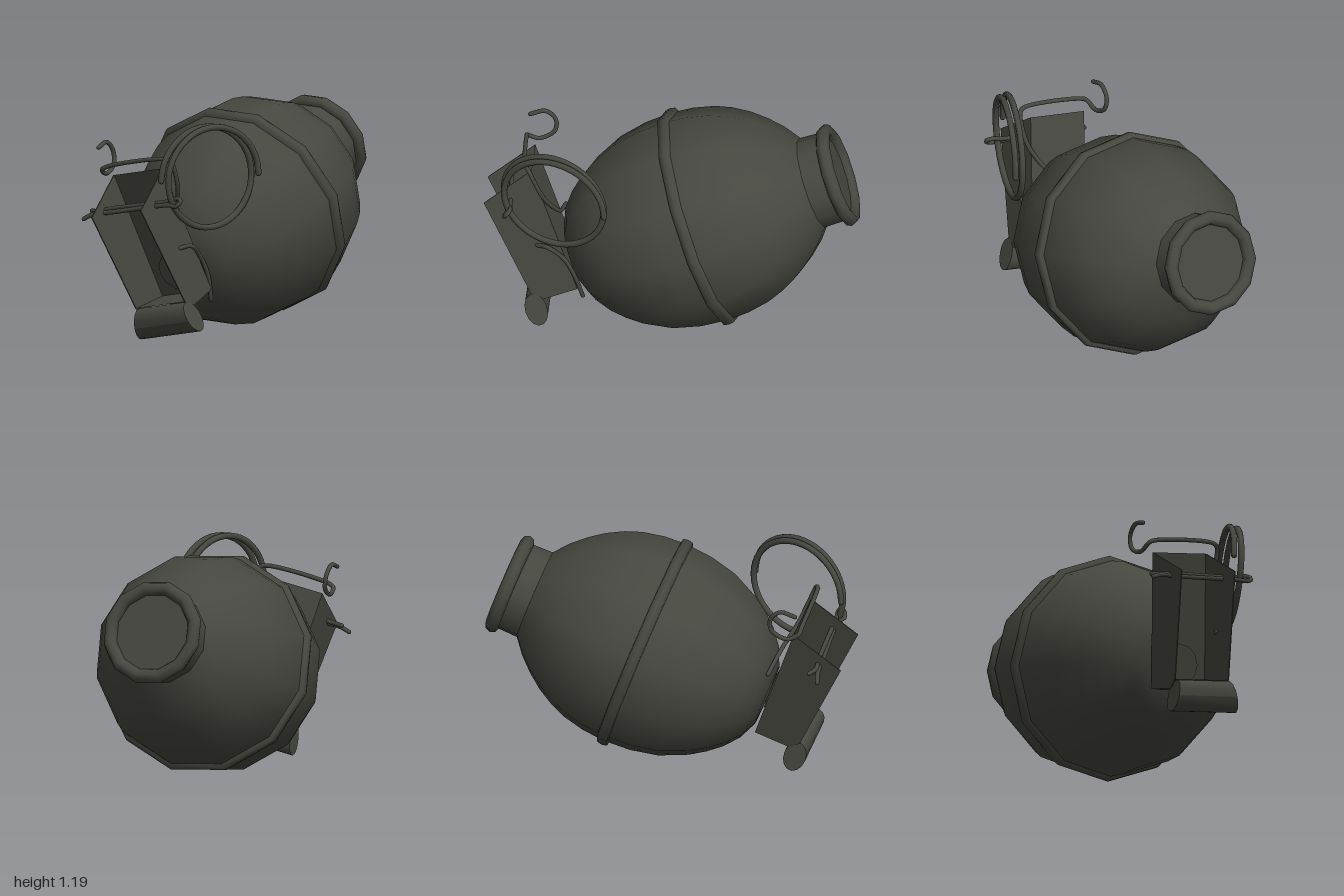
import * as THREE from 'three';

export function createModel() {
  const model = new THREE.Group();
  const darkOlive = new THREE.MeshStandardMaterial({ color: 0x46473f });
  darkOlive.name = 'darkOlive';
  darkOlive.side = THREE.DoubleSide;

  function add(parent, name, geometry) {
    const mesh = new THREE.Mesh(geometry, darkOlive);
    mesh.name = name;
    parent.add(mesh);
    return mesh;
  }
  const V = (p) => new THREE.Vector3(...p);

  // Twelve-sided turned part along z, from [radius, z] pairs
  function turned(points) {
    const g = new THREE.LatheGeometry(points.map(([r, w]) => new THREE.Vector2(r, w)), 12);
    return g.rotateX(Math.PI / 2);
  }

  // Bent wire with closed ends
  function wire(name, points, radius = 0.012, segments = points.length * 6) {
    const g = new THREE.Group();
    g.name = name;
    const curve = new THREE.CatmullRomCurve3(points.map(V), false, 'centripetal');
    add(g, name + 'Rod', new THREE.TubeGeometry(curve, segments, radius, 8));
    for (const p of [points[0], points[points.length - 1]]) {
      add(g, name + 'End', new THREE.SphereGeometry(radius, 8, 6)).position.set(...p);
    }
    model.add(g);
  }

  // Tilted and rolled assembly: z is the body axis, front at +z
  const tilted = new THREE.Group();
  tilted.name = 'tiltedBody';
  tilted.position.set(0, 0.615, -0.15);
  tilted.rotation.set(THREE.MathUtils.degToRad(20), 0, THREE.MathUtils.degToRad(12));
  model.add(tilted);

  add(tilted, 'shell', turned([
    [0.25, -0.64], [0.33, -0.575], [0.4, -0.5], [0.46, -0.42], [0.51, -0.33], [0.545, -0.24],
    [0.57, -0.12], [0.578, 0], [0.568, 0.15], [0.535, 0.3], [0.465, 0.45], [0.41, 0.53],
    [0.35, 0.6], [0.27, 0.665], [0.17, 0.71], [0, 0.718],
  ]));
  add(tilted, 'waistBand', turned([
    [0.565, -0.034], [0.597, -0.028], [0.603, 0], [0.597, 0.028], [0.565, 0.034],
  ]));
  add(tilted, 'neck', turned([[0.245, -0.79], [0.25, -0.6]]));
  add(tilted, 'neckEnd', new THREE.CircleGeometry(0.23, 12).rotateY(Math.PI)).position.z = -0.785;
  add(tilted, 'neckRing', new THREE.TorusGeometry(0.245, 0.038, 8, 12)).position.z = -0.785;

  // Open channel in front of the shell
  const half = 0.168;
  const back = add(tilted, 'channelBack', new THREE.PlaneGeometry(half * 2, 0.73));
  back.position.set(0, 0.235, 0.73);
  const side = new THREE.Shape([
    [0.73, 0.6], [1.035, 0.5], [0.975, -0.08], [0.93, -0.13], [0.73, -0.13],
  ].map(([w, v]) => new THREE.Vector2(-w, v)));
  for (const s of [-1, 1]) {
    const g = new THREE.ExtrudeGeometry(side, { depth: 0.006, bevelEnabled: false });
    g.rotateY(Math.PI / 2);
    add(tilted, s > 0 ? 'channelLeftSide' : 'channelRightSide', g).position.x = s * (half - 0.003) - 0.003;
  }
  const floor = add(tilted, 'channelFloor', new THREE.PlaneGeometry(half * 2, 0.245));
  floor.position.set(0, -0.105, 0.85);
  floor.rotation.x = -Math.PI / 2 - 0.2;
  const disc = add(tilted, 'pivotDisc', new THREE.CylinderGeometry(0.112, 0.112, 0.008, 12));
  disc.rotation.x = Math.PI / 2;
  disc.position.set(0, 0.005, 0.735);

  // Rolled lower lip, wider towards its bottom edge
  const lip = new THREE.CylinderGeometry(1, 1, 0.35, 14).rotateZ(Math.PI / 2);
  const p = lip.attributes.position;
  for (let i = 0; i < p.count; i++) {
    const y = p.getY(i);
    p.setXYZ(i, p.getX(i) * (1.03 - 0.11 * y), y * 0.086, p.getZ(i) * 0.06);
  }
  lip.computeVertexNormals();
  add(tilted, 'rolledLip', lip).position.set(0.005, -0.17, 0.976);

  // Spring wire over the channel, with its hooked end
  wire('springWire', [
    [-0.365, 1.03, 0.75], [-0.365, 1.05, 0.67], [-0.36, 1.0, 0.615], [-0.35, 0.93, 0.62],
    [-0.345, 0.885, 0.70], [-0.335, 0.915, 0.765], [-0.3, 0.935, 0.77], [0.06, 1.005, 0.78],
    [0.095, 0.995, 0.765], [0.105, 0.87, 0.71], [0.08, 0.78, 0.67], [0, 0.66, 0.6], [-0.17, 0.58, 0.56],
  ], 0.012, 90);
  wire('springTail', [
    [0.12, 0.52, 0.72], [0.16, 0.53, 0.66], [0.167, 0.46, 0.575], [0.178, 0.36, 0.52], [0.17, 0.22, 0.475],
  ]);

  // Split pin through the channel, folded at the ring
  wire('splitPin', [
    [-0.38, 0.66, 0.875], [-0.33, 0.687, 0.865], [-0.2, 0.71, 0.865], [0.15, 0.775, 0.875],
    [0.21, 0.775, 0.895], [0.235, 0.8, 0.885], [0.21, 0.815, 0.865], [0.15, 0.795, 0.862],
    [-0.2, 0.73, 0.85], [-0.31, 0.705, 0.85], [-0.36, 0.7, 0.825],
  ], 0.012, 80);

  // Pull ring: one and a half turns of a slanted coil
  const coil = [];
  for (let i = 0; i <= 36; i++) {
    const a = (i / 36) * Math.PI * 3;
    coil.push([
      0.226 - 0.106 * Math.cos(a) + 0.0072 * a,
      0.905 + 0.27 * Math.sin(a),
      0.63 + 0.265 * Math.cos(a),
    ]);
  }
  wire('pullRing', coil, 0.017, 72);

  return model;
}
